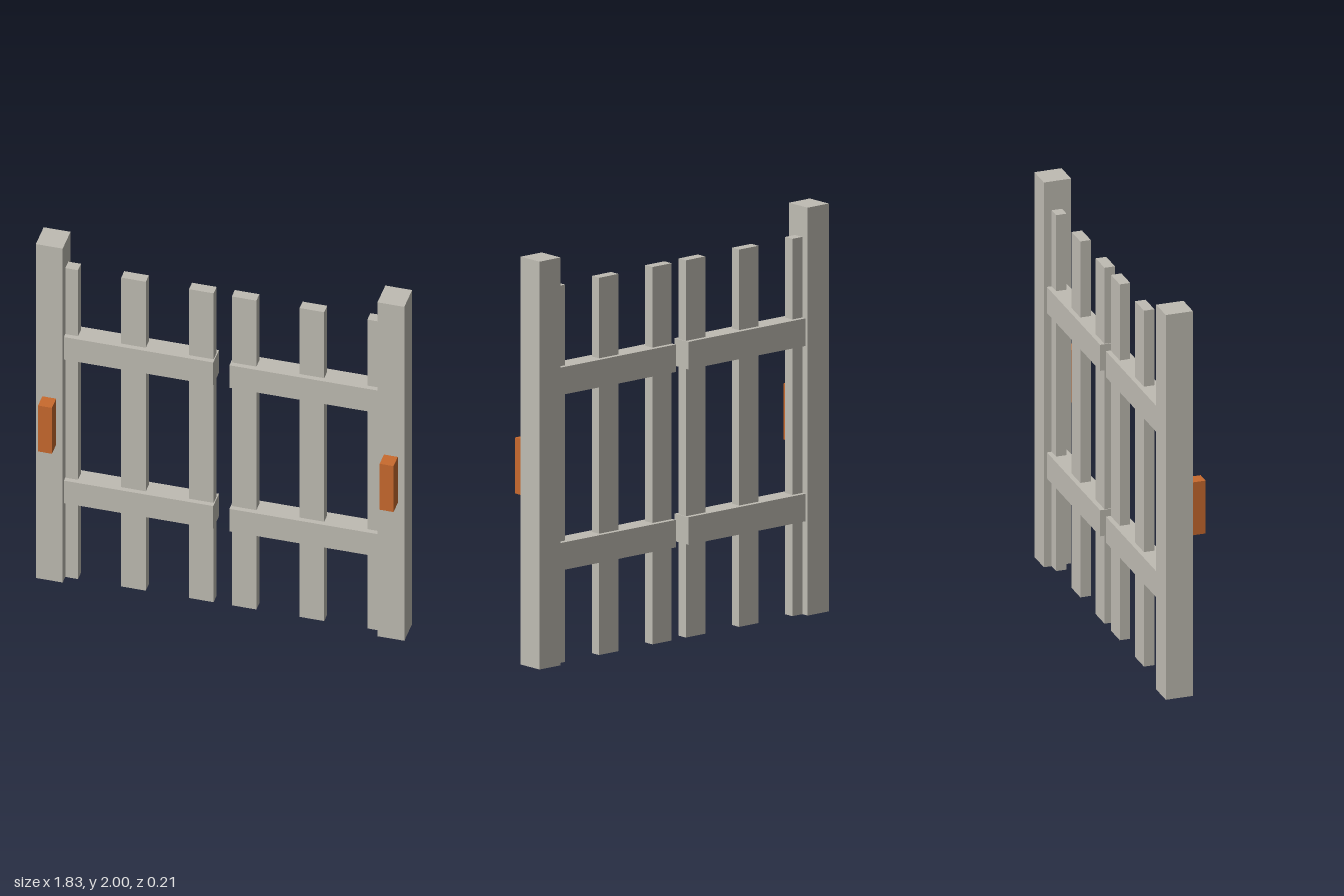
import * as THREE from 'three';

export function createModel() {
  const gate = new THREE.Group();
  gate.name = 'doubleGate';
  const paleGrey = new THREE.MeshStandardMaterial({ name: 'paleGrey', color: 0xbfbcb3 });
  const orange = new THREE.MeshStandardMaterial({ name: 'orange', color: 0xc96a2e });

  // Box given by its extents on each axis
  function addBox(parent, name, material, [x0, x1], [y0, y1], [z0, z1]) {
    const mesh = new THREE.Mesh(new THREE.BoxGeometry(x1 - x0, y1 - y0, z1 - z0), material);
    mesh.position.set((x0 + x1) / 2, (y0 + y1) / 2, (z0 + z1) / 2);
    mesh.name = name;
    parent.add(mesh);
  }

  for (const side of [1, -1]) {
    const label = side > 0 ? 'left' : 'right';
    const leaf = new THREE.Group();
    leaf.name = label + 'Leaf';
    const span = (a, b) => (side > 0 ? [a, b] : [-b, -a]);

    // Corner post and the block mounted on its front
    addBox(leaf, label + 'Post', paleGrey, span(0.78, 0.913), [0, 2], [-0.107, 0.031]);
    addBox(leaf, label + 'PostBlock', orange, span(0.812, 0.881), [0.82, 1.095], [0.031, 0.107]);

    // Horizontal rails, let into the post
    for (const [name, y] of [['LowerRail', 0.46], ['UpperRail', 1.32]]) {
      addBox(leaf, label + name, paleGrey, span(0.04, 0.8), [y, y + 0.135], [-0.092, 0.01]);
    }

    // Evenly spaced upright slats, the outer one partly inside the post
    for (let i = 0; i < 3; i++) {
      const x = 0.106 + i * 0.336;
      addBox(leaf, label + 'Slat' + (i + 1), paleGrey, span(x - 0.061, x + 0.061), [0, 1.85], [-0.068, -0.015]);
    }
    gate.add(leaf);
  }
  return gate;
}
